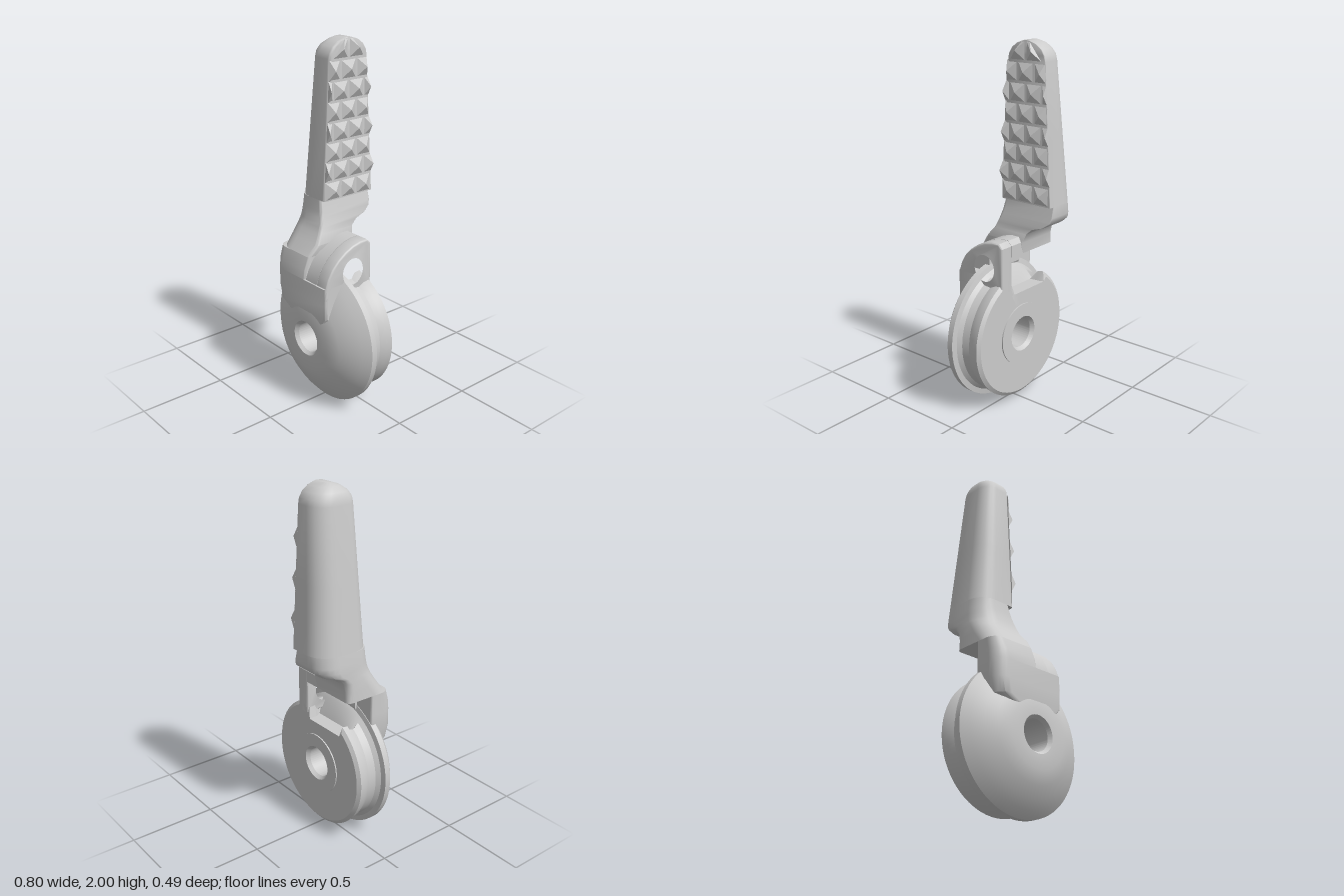
import * as THREE from 'three';
import { toCreasedNormals } from 'three/addons/utils/BufferGeometryUtils.js';

const material = new THREE.MeshStandardMaterial({ color: 0xcccccc });

function part(name, geometry, crease = 0.6) {
  const mesh = new THREE.Mesh(toCreasedNormals(geometry, crease), material);
  mesh.name = name;
  return mesh;
}

// Rounded rectangle in the xz plane; the left corners are rounded most
function section([y, x0, x1, z0, z1, rBack]) {
  const rFront = Math.min(0.11, 0.45 * (x1 - x0), 0.45 * (z1 - z0));
  const corners = [
    [x1, z0, -1, 1, 0.005], [x1, z1, -1, -1, 0.02],
    [x0, z1, 1, -1, rFront], [x0, z0, 1, 1, rBack],
  ];
  const ring = [];
  corners.forEach(([x, z, sx, sz, r], c) => {
    for (let k = 0; k <= 6; k++) {
      const a = (c - 1 + k / 6) * Math.PI / 2;
      ring.push(new THREE.Vector3(x + sx * r + r * Math.cos(a), y, z + sz * r + r * Math.sin(a)));
    }
  });
  return ring;
}

// Skin over stacked sections, closed at both ends
function loft(levels) {
  const rings = levels.map(section);
  const n = rings[0].length;
  const index = [];
  for (let j = 0; j < rings.length - 1; j++) {
    for (let i = 0; i < n; i++) {
      const a = j * n + i, b = j * n + (i + 1) % n;
      index.push(a, a + n, b, b, a + n, b + n);
    }
  }
  const top = (rings.length - 1) * n;
  for (let i = 1; i < n - 1; i++) {
    index.push(0, i, i + 1);
    index.push(top, top + i + 1, top + i);
  }
  const g = new THREE.BufferGeometry().setFromPoints(rings.flat());
  g.setIndex(index);
  return g;
}

// Profile given as (z, y), extruded from x0 to x1
function extrudeX(points, x0, x1, bevel = 0, hole = null) {
  const shape = new THREE.Shape(points.map(([z, y]) => new THREE.Vector2(-z, y)));
  if (hole) shape.holes.push(hole);
  const g = new THREE.ExtrudeGeometry(shape, {
    depth: x1 - x0 - 2 * bevel, curveSegments: 24, bevelEnabled: bevel > 0,
    bevelThickness: bevel, bevelSize: bevel, bevelOffset: -bevel, bevelSegments: 3,
  });
  return g.rotateY(Math.PI / 2).translate(x0 + bevel, 0, 0);
}

function makeWheel() {
  // Back face with raised hub ring, grooved rim, domed front, bore
  const back = [[0.085, -0.06], [0.1, -0.082], [0.175, -0.082], [0.175, -0.075], [0.345, -0.075]];
  const groove = [[0.365, -0.06], [0.36, -0.025], [0.345, 0.01], [0.35, 0.055], [0.37, 0.076]];
  const dome = [[0.4, 0.082], [0.4, 0.115], [0.36, 0.15], [0.31, 0.184], [0.25, 0.218], [0.18, 0.245]];
  const bore = [[0.1, 0.245], [0.085, 0.225], [0.085, -0.06]];
  const profile = [...back, ...groove, ...dome, ...bore].map(([r, z]) => new THREE.Vector2(r, z));
  const g = new THREE.LatheGeometry(profile, 96);
  g.rotateX(Math.PI / 2).translate(0, 0.4, 0);
  // Flat notch in the rear flange below the window
  const p = g.attributes.position;
  for (let i = 0; i < p.count; i++) {
    const x = p.getX(i);
    if (p.getZ(i) < 0.03 && x > -0.2 && x < 0.09 && p.getY(i) > 0.65) p.setY(i, 0.65);
  }
  return part('groovedWheel', g, 0.5);
}

// Share of full width left in the rounded tip at height y
const tipRound = (y) => Math.sqrt(Math.max(0.03, 1 - (Math.max(0, y - 1.9) / 0.1) ** 2));

// Back and front limits of the grip at height y
function gripLimits(y) {
  const t = Math.min(1, (y - 1.15) / 0.75);
  const middle = -0.077 + 0.002 * t;
  const half = (0.167 - 0.042 * t) * tipRound(y);
  return [middle - half, middle + half];
}

function makeGrip() {
  return part('grip', loft([1.15, 1.5, 1.9, 1.93, 1.96, 1.985, 2].map((y) => {
    const [z0, z1] = gripLimits(y);
    const t = Math.min(1, (y - 1.15) / 0.75);
    const x0 = -0.253 + 0.068 * t + 0.09 * (1 - tipRound(y));
    return [y, x0, -0.018, z0, z1, Math.min(0.12 - 0.02 * t, 0.45 * (z1 - z0))];
  })), 0.7);
}

// Staggered rows of pyramids, trimmed to the outline of the grip
function makeTeeth() {
  const group = new THREE.Group();
  group.name = 'gripTeeth';
  const rows = 8, pitch = 0.85 / rows;
  for (let row = 0; row < rows; row++) {
    const y = 1.15 + (row + 0.5) * pitch;
    for (let k = -3; k <= 3; k++) {
      const z = -0.075 + (k + (row % 2) / 2) * pitch;
      const [back, front] = gripLimits(y);
      if (z + pitch / 2 < back + 0.01 || z - pitch / 2 > front - 0.01) continue;
      const g = new THREE.ConeGeometry(pitch / Math.SQRT2, 0.03, 4, 1);
      g.rotateY(Math.PI / 4).rotateZ(-Math.PI / 2).translate(-0.007, y, z);
      const p = g.attributes.position;
      for (let i = 0; i < p.count; i++) {
        const [lo, hi] = gripLimits(p.getY(i));
        p.setZ(i, THREE.MathUtils.clamp(p.getZ(i), lo, hi));
      }
      group.add(part('tooth', g, 0.1));
    }
  }
  return group;
}

export function createModel() {
  const model = new THREE.Group();
  model.name = 'leverWithWheel';
  model.add(makeWheel(), makeGrip(), makeTeeth());

  // Shell over the front of the wheel
  model.add(part('frontShell', loft([
    [0.5, -0.12, 0.11, 0.085, 0.243, 0.01],
    [0.57, -0.25, 0.17, 0.085, 0.245, 0.01],
    [0.65, -0.27, 0.17, 0.085, 0.246, 0.01],
    [0.75, -0.27, 0.17, 0.085, 0.246, 0.01],
    [0.75, -0.27, 0, 0.085, 0.246, 0.01],
    [0.8, -0.27, 0, 0.085, 0.24, 0.01],
    [0.87, -0.27, 0, 0.085, 0.215, 0.01],
  ]), 0.7));

  // Neck swinging back from the housing to the grip
  model.add(part('neck', loft([
    [0.87, -0.27, 0, -0.075, 0.215, 0.03],
    [0.93, -0.27, 0.015, -0.078, 0.17, 0.04],
    [0.98, -0.268, -0.005, -0.095, 0.133, 0.05],
    [1.01, -0.266, -0.012, -0.13, 0.12, 0.06],
    [1.03, -0.264, -0.018, -0.195, 0.113, 0.09],
    [1.06, -0.262, -0.027, -0.235, 0.105, 0.11],
    [1.09, -0.26, -0.035, -0.245, 0.098, 0.12],
    [1.15, -0.253, -0.05, -0.244, 0.09, 0.12],
  ]), 0.7));

  // Housing above the groove: curved roof, open at the back
  const roof = [
    [0.243, 0.7], [0.237, 0.75], [0.22, 0.8], [0.19, 0.85], [0.15, 0.89], [0.1, 0.925],
    [0.05, 0.948], [0, 0.96], [-0.05, 0.96], [-0.075, 0.935],
  ];
  model.add(part('housingRoof', extrudeX(
    [...roof, [-0.075, 0.87], [0.085, 0.87], [0.085, 0.7]], -0.2, 0.09)));

  // End wall with the cable opening
  const opening = new THREE.Path();
  opening.absellipse(-0.052, 0.802, 0.08, 0.086, 0, Math.PI * 2, true);
  model.add(part('housingEndWall', extrudeX(
    [...roof, [-0.075, 0.68], [0.243, 0.68]], 0.085, 0.17, 0.01, opening)));

  // Wedge standing on the inner wall of the window
  model.add(part('cableWedge', extrudeX(
    [[0.1, 0.84], [0.07, 0.8], [0.07, 0.76], [0.1, 0.7]], -0.15, 0.06), 0.2));
  return model;
}
